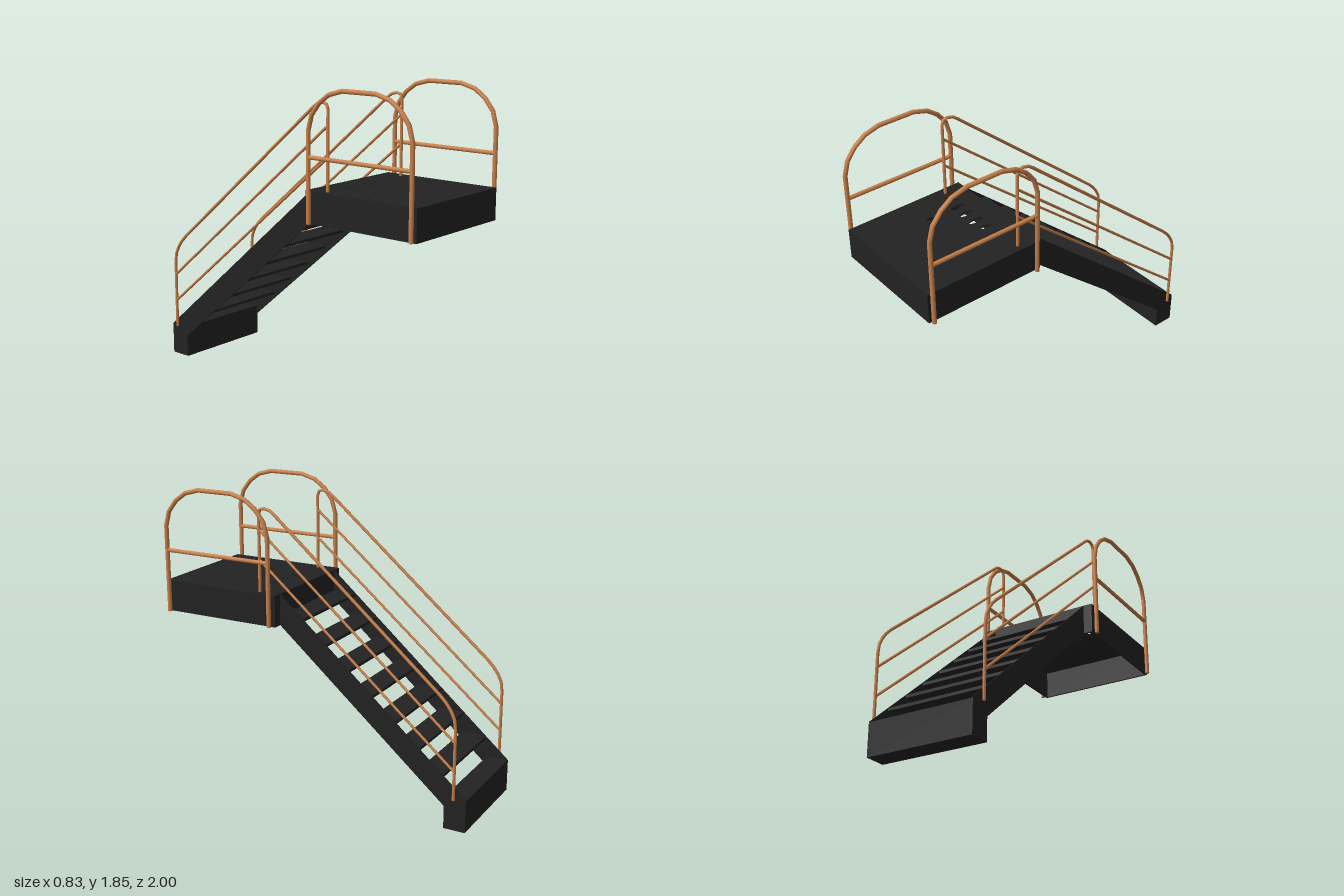
import * as THREE from 'three';

const dark = new THREE.MeshStandardMaterial({ color: 0x222222 });
const copper = new THREE.MeshStandardMaterial({ color: 0xc8804a });

// Path through corner points, sampled exactly at the corners
class Polyline extends THREE.Curve {
  constructor(points) { super(); this.points = points; }
  getPoint(t, target = new THREE.Vector3()) {
    const n = this.points.length - 1;
    const i = Math.min(Math.floor(t * n), n - 1);
    return target.lerpVectors(this.points[i], this.points[i + 1], t * n - i);
  }
  getUtoTmapping(u) { return u; }
}

function add(group, name, geometry, material) {
  const mesh = new THREE.Mesh(geometry, material);
  mesh.name = name;
  group.add(mesh);
  return mesh;
}

function box(group, name, [w, h, d], [x, y, z]) {
  return add(group, name, new THREE.BoxGeometry(w, h, d).translate(x, y, z), dark);
}

// Tube through [x, y, z] points, capped where it stands on its feet
function rail(group, name, pts, radius, feet = false) {
  const path = new Polyline(pts.map(p => new THREE.Vector3(...p)));
  add(group, name, new THREE.TubeGeometry(path, pts.length - 1, radius, 10), copper);
  if (feet) for (const p of [pts[0], pts[pts.length - 1]])
    add(group, name + 'Foot', new THREE.CircleGeometry(radius, 10).rotateX(Math.PI / 2).translate(...p), copper);
}

// Horizontal plate with oval holes given as [x, z, halfWidth, halfLength]
function plate(group, name, x, z0, z1, top, thick, holes) {
  const shape = new THREE.Shape([[-x, z0], [x, z0], [x, z1], [-x, z1]].map(p => new THREE.Vector2(...p)));
  for (const [hx, hz, rx, rz] of holes)
    shape.holes.push(new THREE.Path().absellipse(hx, hz, rx, rz, 0, Math.PI * 2, true));
  const g = new THREE.ExtrudeGeometry(shape, { depth: thick, bevelEnabled: false, curveSegments: 8 });
  add(group, name, g.rotateX(Math.PI / 2).translate(0, top, 0), dark);
}

export function createModel() {
  const model = new THREE.Group();

  // Platform: four skirts around a perforated deck, open underneath
  const platform = new THREE.Group();
  platform.name = 'platform';
  model.add(platform);
  for (const s of [-1, 1]) box(platform, 'sideSkirt', [0.012, 0.192, 0.78], [s * 0.381, 1.159, 0.61]);
  for (const z of [0.226, 0.994]) box(platform, 'endSkirt', [0.75, 0.192, 0.012], [0, 1.159, z]);
  const topHoles = [[-0.255, 0.36, 0.007, 0.03], [0.085, 0.37, 0.018, 0.04], [-0.18, 0.575, 0.014, 0.024]];
  for (const x of [-0.18, -0.09, 0]) topHoles.push([x, 0.38, 0.018, 0.053]);
  plate(platform, 'deck', 0.376, 0.23, 0.99, 1.254, 0.004, topHoles);
  const underHoles = [];
  for (const z of [0.38, 0.58])
    for (let i = -3; i <= 2; i++) underHoles.push([i * 0.088, z, 0.018, 0.053]);
  plate(platform, 'deckUnderside', 0.376, 0.23, 0.99, 1.249, 0.006, underHoles);

  // Stairs: slanted side boards, thin open treads and a solid bottom step
  const stairs = new THREE.Group();
  stairs.name = 'stairs';
  model.add(stairs);
  const side = new THREE.Shape([
    [0.222, 1.254], [-1, 0.2], [-1, 0], [-0.865, 0], [-0.865, 0.14], [0.222, 1.065],
  ].map(p => new THREE.Vector2(...p)));
  for (const x of [-0.322, 0.33]) {
    const g = new THREE.ExtrudeGeometry(side, { depth: 0.008, bevelEnabled: false });
    add(stairs, 'stringer', g.rotateY(-Math.PI / 2).translate(x, 0, 0), dark);
  }
  box(stairs, 'bottomStep', [0.645, 0.198, 0.134], [0, 0.099, -0.932]);
  for (let i = 0; i < 7; i++)
    box(stairs, 'tread', [0.645, 0.018, 0.156], [0, 0.32 + i * 0.132, -0.774 + i * 0.153]);

  // Matching handrails on both sides
  for (const s of [-1, 1]) {
    const stairRail = new THREE.Group();
    stairRail.name = s > 0 ? 'leftStairRail' : 'rightStairRail';
    model.add(stairRail);
    const at = (z, y) => [s * (0.3455 - z * 0.008), y, z];
    rail(stairRail, 'handrail', [
      [-0.932, 0.2], [-0.932, 0.63], [-0.924, 0.69], [-0.9, 0.74], [-0.87, 0.78], [-0.83, 0.82],
      [0.24, 1.725], [0.27, 1.747], [0.31, 1.757], [0.338, 1.75], [0.349, 1.72], [0.349, 1.25],
    ].map(p => at(...p)), 0.0095, true);
    for (const [low, high] of [[0.55, 1.63], [0.375, 1.45]])
      rail(stairRail, 'midRail', [at(-0.932, low), at(0.349, high)], 0.008);

    const guard = new THREE.Group();
    guard.name = s > 0 ? 'leftPlatformGuard' : 'rightPlatformGuard';
    model.add(guard);
    const arch = [[0.36, 1.064], [0.36, 1.6], [0.335, 1.69], [0.28, 1.76], [0.21, 1.81], [0.115, 1.836]];
    const full = [...arch, ...arch.map(([z, y]) => [-z, y]).reverse()];
    rail(guard, 'archRail', full.map(([z, y]) => [s * 0.402, y, 0.615 + z]), 0.0135, true);
    rail(guard, 'crossBar', [[s * 0.402, 1.45, 0.255], [s * 0.402, 1.45, 0.975]], 0.0125);
  }
  return model;
}
